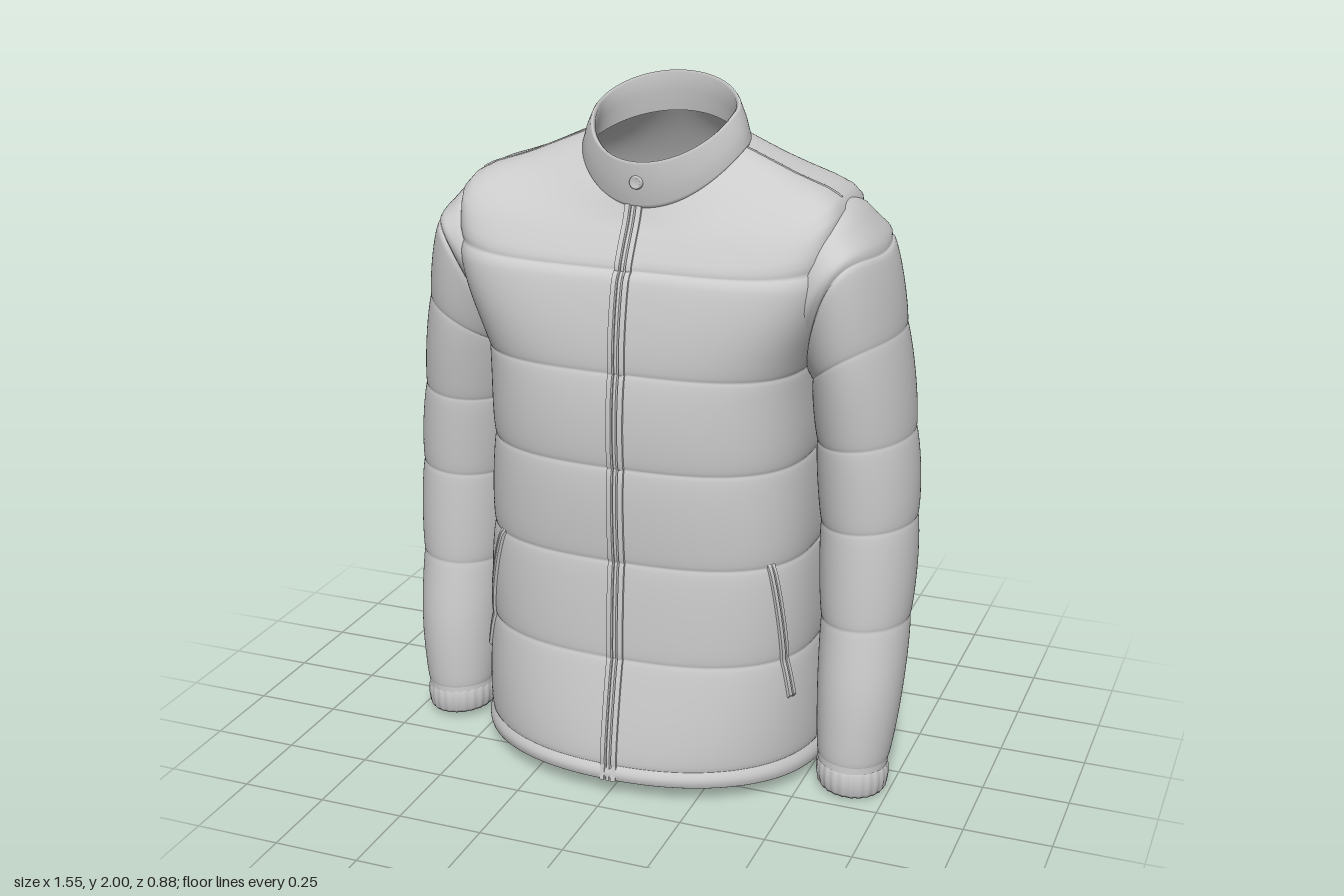
import * as THREE from 'three';
import { toCreasedNormals } from 'three/addons/utils/BufferGeometryUtils.js';

const SEG = 144;
const TAU = Math.PI * 2;
const material = new THREE.MeshStandardMaterial({ color: 0xcccccc, side: THREE.DoubleSide });

// Surface through a grid of points; wrap joins the last column to the first
function grid(points, wrap, flip) {
  const rows = points.length, cols = points[0].length, index = [];
  for (let i = 0; i < rows - 1; i++) {
    for (let j = 0; j < (wrap ? cols : cols - 1); j++) {
      const k = (j + 1) % cols;
      const a = i * cols + j, b = a + cols, c = i * cols + k, d = c + cols;
      if (flip) index.push(a, c, b, b, c, d);
      else index.push(a, b, c, b, d, c);
    }
  }
  const geometry = new THREE.BufferGeometry().setFromPoints(points.flat());
  geometry.setIndex(index);
  geometry.computeVertexNormals();
  return geometry;
}

function part(name, geometry) {
  const mesh = new THREE.Mesh(geometry, material);
  mesh.name = name;
  return mesh;
}

// Smooth interpolation of a key table whose first column is the parameter
function sample(keys, t) {
  const last = keys.length - 1;
  let i = 0;
  while (i < last - 1 && t > keys[i + 1][0]) i++;
  const k0 = keys[i], k1 = keys[i + 1], h = k1[0] - k0[0], f = (t - k0[0]) / h;
  const slope = (n, c) => {
    const p = keys[Math.max(n - 1, 0)], q = keys[Math.min(n + 1, last)];
    return (q[c] - p[c]) / (q[0] - p[0]);
  };
  const f2 = f * f, f3 = f2 * f;
  return k0.slice(1).map((v, c) => v * (2 * f3 - 3 * f2 + 1) + k1[c + 1] * (3 * f2 - 2 * f3)
    + h * (slope(i, c + 1) * (f3 - 2 * f2 + f) + slope(i + 1, c + 1) * (f3 - f2)));
}

// Row parameters, denser towards each stop
function spread(stops, n) {
  const out = [stops[0]];
  for (let i = 0; i < stops.length - 1; i++)
    for (let k = 1; k <= n; k++)
      out.push(stops[i] + (stops[i + 1] - stops[i]) * (1 - Math.cos(Math.PI * k / n)) / 2);
  return out;
}

// Padding between quilt seams, zero on the seams
function puff(seams, t, amount) {
  for (let i = 0; i < seams.length - 1; i++)
    if (t > seams[i] && t < seams[i + 1])
      return amount * Math.pow(Math.sin(Math.PI * (t - seams[i]) / (seams[i + 1] - seams[i])), 0.5);
  return 0;
}

// Narrow stitched groove
const groove = (t, at) => -0.006 * Math.exp(-(((t - at) / 0.008) ** 2));

const ring = fn => Array.from({ length: SEG }, (_, j) => fn(j / SEG * TAU));

// Body ring: half width, front z, back z, y at front / side / back, squareness, bend of the tilt
function bodyPoint([a, zf, zb, yf, ys, yb, n, bend], angle, out = 0) {
  const c = Math.cos(angle), s = Math.sin(angle), e = 2 / n;
  return new THREE.Vector3(
    a * Math.sign(c) * Math.pow(Math.abs(c), e) + c * out,
    ys + ((s > 0 ? yf : yb) - ys) * Math.pow(Math.abs(s), bend),
    (s > 0 ? zf : -zb) * Math.sign(s) * Math.pow(Math.abs(s), e) + s * out);
}

const flat = (y, a, zf, zb, n) => [y, a, zf, zb, y, y, y, n, 2];
const BODY = [
  [0.05, 0.522, 0.43, -0.437, 0.055, 0.045, 0.045, 2.15, 2],
  flat(0.1, 0.512, 0.422, -0.422, 2.2),
  flat(0.41, 0.492, 0.366, -0.385, 2.55),
  flat(0.7, 0.478, 0.348, -0.37, 2.75),
  flat(0.98, 0.466, 0.351, -0.367, 2.8),
  flat(1.25, 0.468, 0.341, -0.35, 3.2),
  [1.5, 0.535, 0.305, -0.338, 1.5, 1.5, 1.5, 4.6, 2],
  [1.56, 0.548, 0.284, -0.322, 1.55, 1.61, 1.57, 4.6, 1.8],
  [1.66, 0.538, 0.253, -0.285, 1.605, 1.71, 1.68, 4, 1.6],
  [1.8, 0.385, 0.226, -0.222, 1.65, 1.772, 1.81, 2.5, 1.6],
  [1.9, 0.212, 0.205, -0.165, 1.7, 1.845, 1.9, 2, 1.5],
];
const BODY_SEAMS = [0.1, 0.41, 0.7, 0.98, 1.25, 1.53];
const body = (t, angle, out = 0) =>
  bodyPoint(sample(BODY, t), angle, out + puff(BODY_SEAMS, t, 0.011) + groove(t, 1.53));

function torso() {
  const hem = [[0.1, -0.016], [0.07, -0.016], [0.05, -0.012]]
    .map(([t, o]) => ring(a => body(t, a, o)));
  const outer = spread([0.05, ...BODY_SEAMS, 1.9], 14).map(t =>
    ring(a => body(t, a, t < 0.1 ? 0.007 * Math.sin(Math.PI * (t - 0.05) / 0.05) : 0)));
  return part('torso', grid([...hem, ...outer], true));
}

function collar() {
  const rows = [
    [0.234, 0.212, -0.17, 1.685, 1.828, 1.893, 2, 1.5],
    [0.238, 0.22, -0.174, 1.695, 1.838, 1.902, 2, 1.5],
    [0.225, 0.228, -0.164, 1.75, 1.882, 1.95, 2, 1.35],
    [0.208, 0.236, -0.15, 1.806, 1.92, 1.994, 2, 1.2],
    [0.203, 0.231, -0.145, 1.814, 1.926, 2.0, 2, 1.2],
    [0.194, 0.222, -0.137, 1.808, 1.92, 1.994, 2, 1.2],
    [0.198, 0.21, -0.142, 1.75, 1.877, 1.94, 2, 1.35],
    [0.205, 0.2, -0.152, 1.695, 1.83, 1.885, 2, 1.5],
  ];
  const mesh = part('collar', grid(rows.map(k => ring(a => bodyPoint(k, a))), true));
  mesh.position.x = 0.02;
  return mesh;
}

// Sleeve ring: outer x, y, inner x, y, front z, back z, lift of the front and back
const SLEEVE = [
  [-0.12, 0.4, 1.69, 0.36, 1.27, 0.17, -0.21, 0],
  [0, 0.537, 1.706, 0.445, 1.23, 0.232, -0.268, 0.02],
  [0.08, 0.598, 1.65, 0.45, 1.225, 0.237, -0.27, 0.07],
  [0.18, 0.65, 1.573, 0.457, 1.215, 0.228, -0.26, 0.115],
  [0.4, 0.704, 1.35, 0.468, 1.2, 0.2, -0.235, 0.03],
  [0.69, 0.746, 1.06, 0.481, 1.03, 0.168, -0.202, 0],
  [0.94, 0.766, 0.81, 0.5, 0.79, 0.158, -0.164, 0],
  [1.23, 0.766, 0.52, 0.517, 0.51, 0.174, -0.11, 0],
  [1.45, 0.757, 0.3, 0.53, 0.3, 0.203, -0.047, 0],
  [1.66, 0.738, 0.085, 0.537, 0.095, 0.216, 0.002, 0],
];
const SLEEVE_SEAMS = [0.18, 0.4, 0.69, 0.94, 1.23, 1.64];

function sleevePoint([xo, yo, xi, yi, zf, zb, lift], angle, out, side, t) {
  const c = Math.cos(angle), s = Math.sin(angle);
  const dx = (xo - xi) / 2, dy = (yo - yi) / 2, l = Math.hypot(dx, dy);
  const sway = side < 0 ? -0.015 - 0.03 * t / 1.66 : 0;
  return new THREE.Vector3(
    side * ((xo + xi) / 2 + c * dx * (1 + out / l)),
    (yo + yi) / 2 + c * dy * (1 + out / l) + lift * s * s,
    (zf + zb) / 2 + s * ((zf - zb) / 2 + out) + sway);
}

function sleeve(side) {
  const group = new THREE.Group();
  group.name = side > 0 ? 'leftSleeve' : 'rightSleeve';
  const rows = spread([-0.12, ...SLEEVE_SEAMS, 1.66], 14).map(t => {
    const key = sample(SLEEVE, t), out = puff(SLEEVE_SEAMS, t, 0.008) + groove(t, 0.18);
    return ring(a => sleevePoint(key, a, out, side, t));
  });
  group.add(part('sleeveShell', grid(rows, true, side > 0)));

  // Gathered cuff, turned in at the opening
  const end = SLEEVE[SLEEVE.length - 1].slice(1);
  const cuffRows = [[0.095, -0.006], [0.08, 0.002], [0.05, 0.003], [0.022, -0.001],
    [0.011, -0.008], [0.022, -0.015], [0.1, -0.016]];
  group.add(part('cuff', grid(cuffRows.map(([y, out]) => ring(a => {
    const p = sleevePoint(end, a, out + 0.0013 * Math.cos(a * 24), side, 1.66);
    p.y = y + 0.01 * (side < 0) - 0.006 * Math.cos(a);
    return p;
  })), true, side > 0)));
  return group;
}

// Front zip: two raised edges with a cord between them
function zip() {
  const profile = [[-0.026, -0.008], [-0.024, 0.006], [-0.01, 0.008], [-0.008, 0],
    [-0.004, 0.006], [0.004, 0.006], [0.008, 0], [0.01, 0.008], [0.024, 0.006], [0.026, -0.008]];
  const rows = spread([0.05, ...BODY_SEAMS, 1.9], 10).map(t => {
    const p = body(t, Math.PI / 2);
    return profile.map(([x, out]) => new THREE.Vector3(x + 0.003, p.y, p.z + out));
  });
  return part('frontZip', toCreasedNormals(grid(rows, false, true), 0.6));
}

// Slanted pocket welt lying on the body, between two angles
function pocket(name, low, high) {
  const profile = [[-0.04, 0], [-0.034, 0.008], [-0.006, 0.009], [0, 0.002],
    [0.006, 0.009], [0.034, 0.008], [0.04, 0]];
  const rows = Array.from({ length: 41 }, (_, i) => {
    const f = i / 40, raise = i === 0 || i === 40 ? 0 : 1;
    return profile.map(([d, out]) =>
      body(0.29 + 0.42 * f, low + (high - low) * f + d, out * raise));
  });
  return part(name, toCreasedNormals(grid(rows, false), 0.6));
}

// Fine piping along the shoulder
function shoulderSeam(name, angle) {
  const path = Array.from({ length: 12 }, (_, i) => body(1.67 + 0.23 * i / 11, angle));
  return part(name, new THREE.TubeGeometry(new THREE.CatmullRomCurve3(path), 24, 0.003, 6));
}

function snap() {
  const points = [[0.02, 0], [0.018, 0.009], [0.014, 0.011], [0.012, 0.008], [0, 0.008]]
    .map(([r, y]) => new THREE.Vector2(r, y));
  const mesh = part('collarSnap', new THREE.LatheGeometry(points, 24));
  mesh.rotation.x = Math.PI / 2;
  mesh.position.set(0.018, 1.758, 0.226);
  return mesh;
}

export function createModel() {
  const jacket = new THREE.Group();
  jacket.name = 'quiltedJacket';
  jacket.add(
    torso(), collar(), sleeve(1), sleeve(-1), zip(), snap(),
    pocket('leftPocket', 0.42, 0.6),
    pocket('rightPocket', Math.PI - 0.4, Math.PI - 0.74),
    shoulderSeam('leftShoulderSeam', 0.01),
    shoulderSeam('rightShoulderSeam', Math.PI - 0.01));
  return jacket;
}
